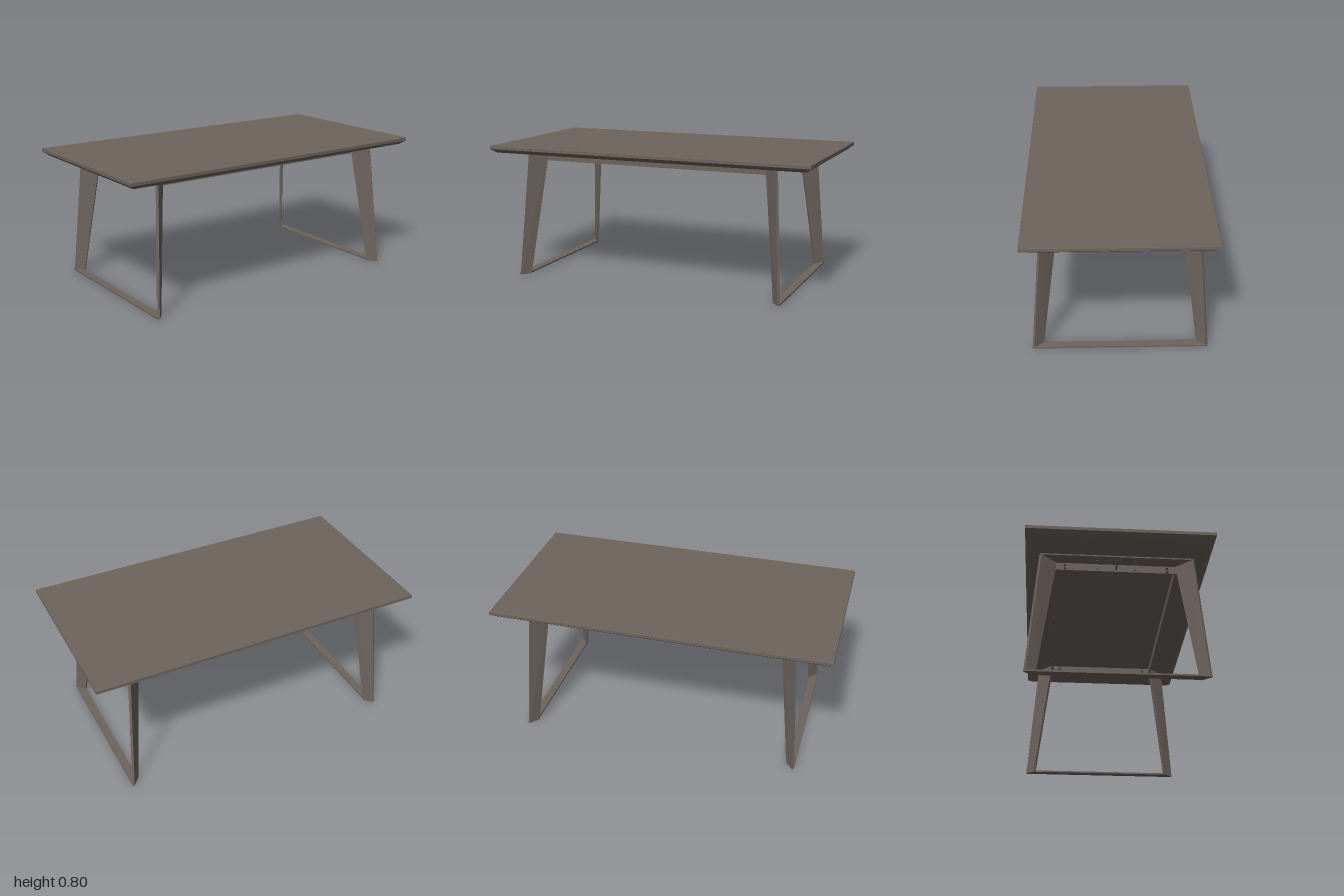
import * as THREE from 'three';
import { ConvexGeometry } from 'three/addons/geometries/ConvexGeometry.js';

const finish = new THREE.MeshStandardMaterial({ color: 0x6e645d });
finish.name = 'taupe finish';

const FRAME_Z = -0.007; // the frame sits a touch behind the centre of the top

function add(parent, name, geometry) {
  const mesh = new THREE.Mesh(geometry, finish);
  mesh.name = name;
  parent.add(mesh);
  return mesh;
}

// Solid hull around horizontal rectangles given as [y, halfX, halfZ]
function rectLoft(levels) {
  const pts = [];
  for (const [y, hx, hz] of levels)
    for (const sx of [-1, 1]) for (const sz of [-1, 1]) pts.push(new THREE.Vector3(sx * hx, y, sz * hz));
  return new ConvexGeometry(pts);
}

// Flat bar along z with mitred ends, for the end at side sx
function mitredBar(sx, y0, y1, xIn, zIn, xOut, zOut) {
  const pts = [];
  for (const y of [y0, y1])
    for (const [x, z] of [[xIn, zIn], [xOut, zOut]])
      for (const sz of [-1, 1]) pts.push(new THREE.Vector3(sx * x, y, sz * z));
  return new ConvexGeometry(pts);
}

// Tapered plate leg standing on the diagonal of its corner
function leg(sx, sz) {
  const t = 0.0057; // half thickness measured along each axis
  const pts = [];
  const edges = [
    [0, 0.789, 0.4435], [0, 0.832, 0.496],
    [0.757, 0.700, 0.345], [0.757, 0.784, 0.434],
  ];
  for (const [y, x, z] of edges)
    for (const s of [-t, t]) pts.push(new THREE.Vector3(sx * (x + s), y, sz * (z - s)));
  return new ConvexGeometry(pts);
}

// Drilled end apron, drawn in (z, y) and extruded along x
function endApron() {
  const shape = new THREE.Shape();
  shape.moveTo(-0.347, 0.703).lineTo(0.347, 0.703).lineTo(0.347, 0.757).lineTo(-0.347, 0.757).closePath();
  for (const s of [-1, 1])
    for (const [z, y, r] of [[0.293, 0.735, 0.008], [0.293, 0.713, 0.008], [0.109, 0.717, 0.005]]) {
      const hole = new THREE.Path();
      hole.absarc(s * z, y, r, 0, Math.PI * 2, true);
      shape.holes.push(hole);
    }
  const g = new THREE.ExtrudeGeometry(shape, { depth: 0.01, bevelEnabled: false, curveSegments: 8 });
  return g.translate(0, 0, -0.005).rotateY(Math.PI / 2);
}

// Small triangular bracket under the end flange
function gusset() {
  const shape = new THREE.Shape();
  shape.moveTo(0, 0.71).lineTo(0.055, 0.745).lineTo(0.055, 0.75).lineTo(0, 0.75).closePath();
  return new THREE.ExtrudeGeometry(shape, { depth: 0.01, bevelEnabled: false }).translate(0, 0, -0.005);
}

export function createModel() {
  const table = new THREE.Group();
  table.name = 'table';

  // Top with an eased upper edge and an undercut bevel
  add(table, 'tableTop', rectLoft([
    [0.757, 0.97, 0.496], [0.78, 1, 0.526], [0.798, 1, 0.526], [0.8, 0.998, 0.524],
  ]));

  const frame = new THREE.Group();
  frame.name = 'frame';
  frame.position.z = FRAME_Z;
  table.add(frame);

  // Long aprons
  for (const sz of [-1, 1])
    add(frame, 'longApron', new THREE.BoxGeometry(1.4, 0.054, 0.01)).position.set(0, 0.73, sz * 0.342);

  // Each end: two legs, floor bar, top flange, apron, bracket and screws
  for (const sx of [-1, 1]) {
    const end = new THREE.Group();
    end.name = sx > 0 ? 'leftEnd' : 'rightEnd';
    frame.add(end);
    for (const sz of [-1, 1]) add(end, 'leg', leg(sx, sz));
    add(end, 'floorBar', mitredBar(sx, 0, 0.01, 0.789, 0.4435, 0.837, 0.501));
    add(end, 'topFlange', mitredBar(sx, 0.749, 0.757, 0.70, 0.345, 0.788, 0.437));
    add(end, 'endApron', endApron()).position.x = sx * 0.7;
    const bracket = add(end, 'bracket', gusset());
    bracket.position.x = sx * 0.703;
    if (sx < 0) bracket.rotation.y = Math.PI;
    for (const z of [-0.375, -0.109, 0.109, 0.375])
      add(end, 'screwHead', new THREE.CylinderGeometry(0.006, 0.006, 0.004, 10)).position.set(sx * 0.745, 0.747, z);
  }
  return table;
}
